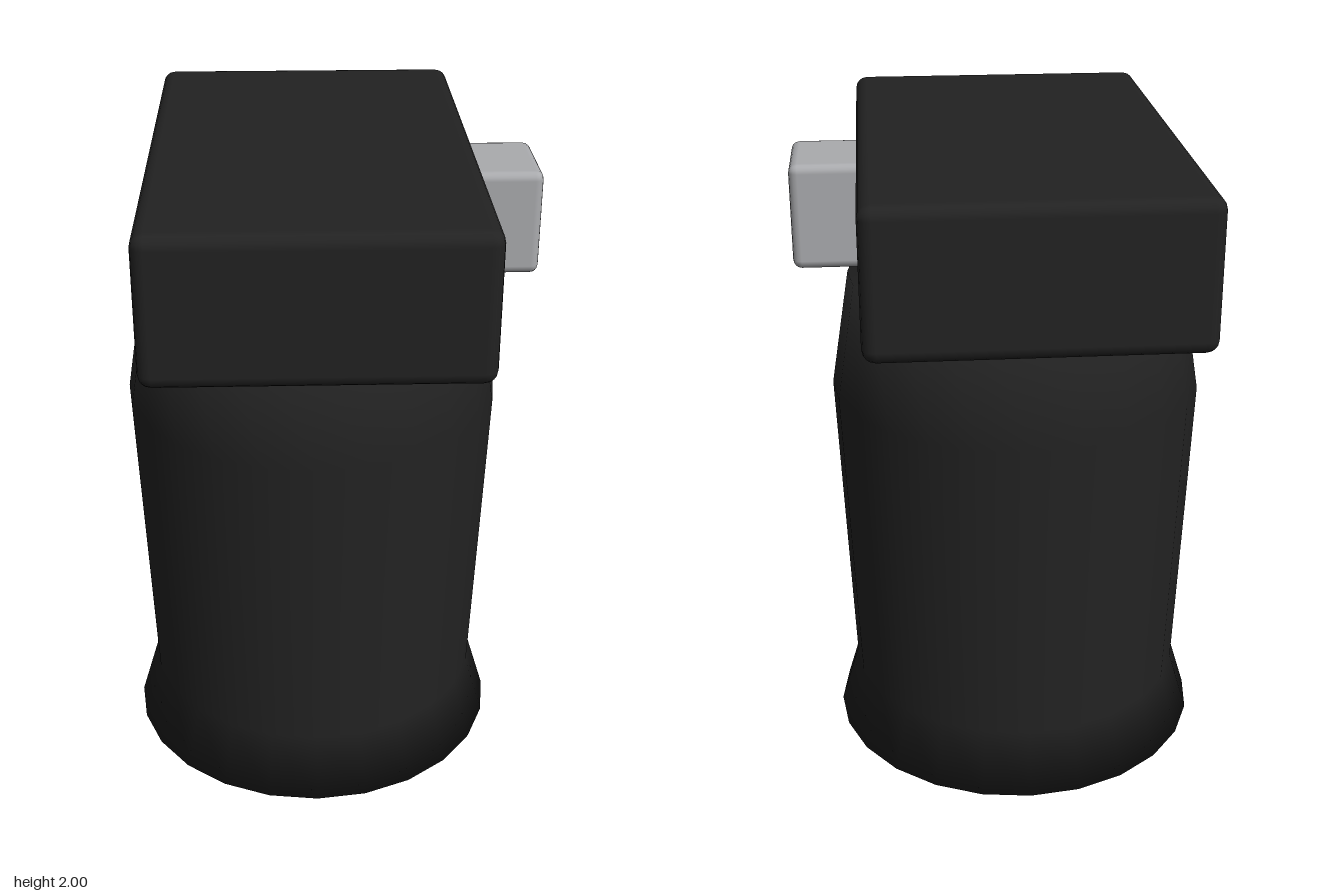
import * as THREE from 'three';
import { RoundedBoxGeometry } from 'three/addons/geometries/RoundedBoxGeometry.js';

export function createModel() {
  const group = new THREE.Group();
  const black = new THREE.MeshStandardMaterial({ color: 0x222222 });
  black.name = 'black';
  const grey = new THREE.MeshStandardMaterial({ color: 0xaaabae });
  grey.name = 'lightGrey';

  const add = (name, geometry, material, x, y, z) => {
    const mesh = new THREE.Mesh(geometry, material);
    mesh.name = name;
    mesh.position.set(x, y, z);
    group.add(mesh);
  };

  // Turned body with a flared foot and tapered shoulder, softly shaded and closed at both ends
  const profile = [[0, 0], [0.6, 0], [0.54, 0.2], [0.58, 1.2], [0.52, 1.565], [0, 1.565]]
    .map(([r, y]) => new THREE.Vector2(r, y));
  add('body', new THREE.LatheGeometry(profile, 24), black, -0.04, 0, 0);

  // Long rounded block across the top
  add('topBlock', new RoundedBoxGeometry(0.955, 0.43, 1.6, 2, 0.038), black, -0.04, 1.785, 0);

  // Small button sticking out of the left side of the block
  add('sideButton', new RoundedBoxGeometry(0.315, 0.315, 0.315, 2, 0.026), grey, 0.478, 1.783, 0);

  return group;
}
